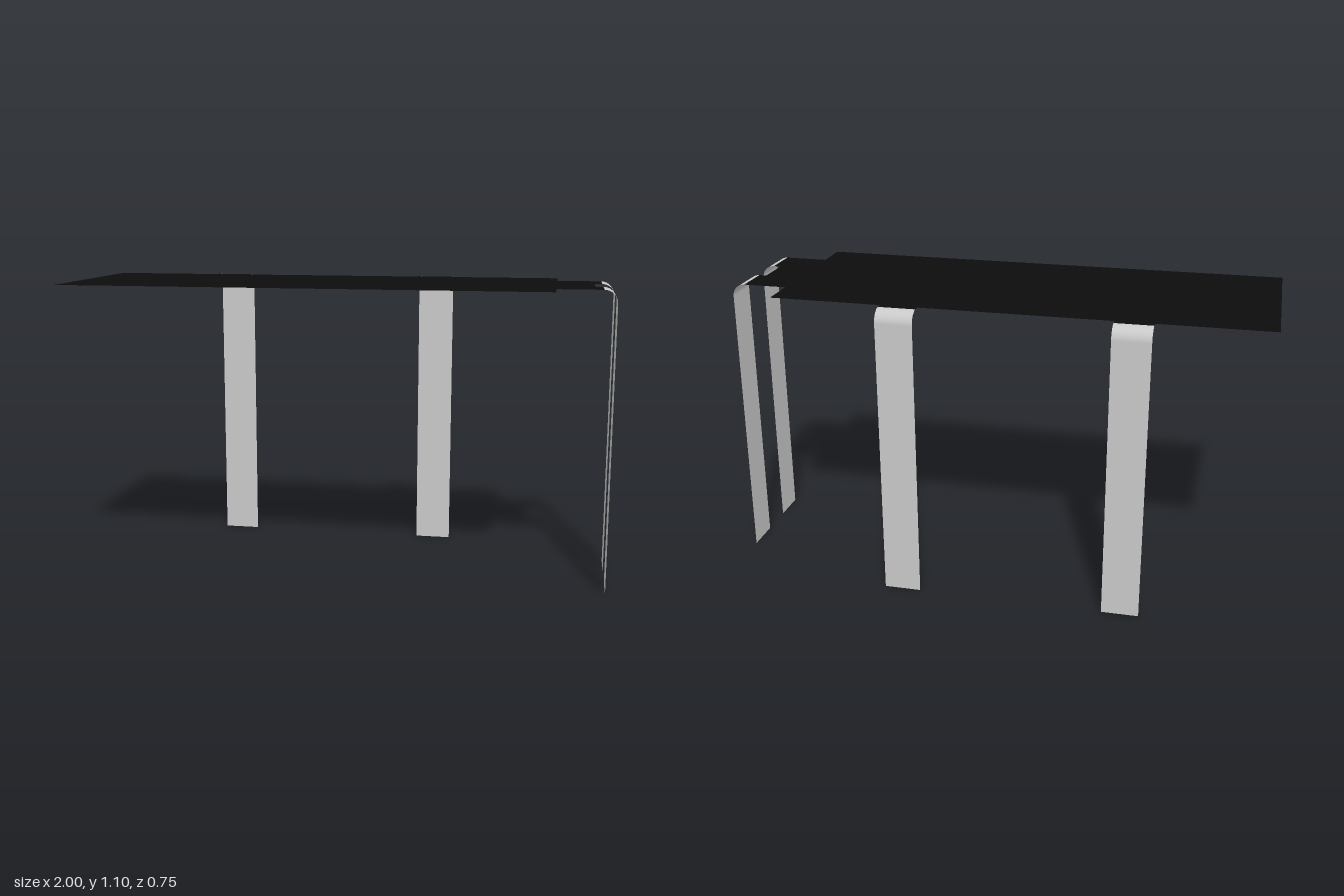
import * as THREE from 'three';

const TOP = 1.095; // height of the sheet
const BEND = 0.047; // radius of the fold at the top of each leg
const WIDTH = 0.137; // leg width

export function createModel() {
  const model = new THREE.Group();
  model.name = 'foldedTable';
  const black = new THREE.MeshStandardMaterial({ color: 0x0c0c0c, side: THREE.DoubleSide });
  black.name = 'black';
  const grey = new THREE.MeshStandardMaterial({ color: 0xc8c8c8, side: THREE.DoubleSide });
  grey.name = 'light grey';

  // Flat top sheet with two short back tabs and a notched end tab, outlined as [x, z]
  const outline = [
    [-1, 0.377], [0.79, 0.377], [0.79, 0.241], [0.953, 0.241], [0.953, 0.104], [0.925, 0.104],
    [0.925, -0.033], [0.953, -0.033], [0.953, -0.17], [0.79, -0.17], [0.79, -0.308],
    [0.376, -0.308], [0.376, -0.33], [0.239, -0.33], [0.239, -0.308],
    [-0.453, -0.308], [-0.453, -0.33], [-0.59, -0.33], [-0.59, -0.308], [-1, -0.308],
  ];
  const shape = new THREE.Shape(outline.map(([x, z]) => new THREE.Vector2(x, -z)));
  const sheet = new THREE.Mesh(new THREE.ShapeGeometry(shape).rotateX(-Math.PI / 2), black);
  sheet.position.y = TOP;
  sheet.name = 'topSheet';
  model.add(sheet);

  // Leg strip: a rounded fold from the sheet, then straight down; it hangs out along +x
  const segments = 12;
  const legGeometry = new THREE.PlaneGeometry(1, 1, 1, segments + 1);
  const pos = legGeometry.attributes.position;
  const normal = legGeometry.attributes.normal;
  for (let row = 0; row <= segments + 1; row++) {
    const a = (Math.min(row, segments) / segments) * Math.PI / 2;
    const y = row > segments ? 0 : TOP - BEND + BEND * Math.cos(a);
    for (let side = 0; side < 2; side++) {
      const i = row * 2 + side;
      pos.setXYZ(i, BEND * Math.sin(a), y, (0.5 - side) * WIDTH);
      normal.setXYZ(i, Math.sin(a), Math.cos(a), 0);
    }
  }

  function addLeg(name, x, z, turn) {
    const leg = new THREE.Mesh(legGeometry, grey);
    leg.position.set(x, 0, z);
    leg.rotation.y = turn;
    leg.name = name;
    model.add(leg);
  }
  addLeg('endLegFront', 0.953, 0.1725, 0);
  addLeg('endLegBack', 0.953, -0.1015, 0);
  addLeg('backLegLeft', 0.3075, -0.33, Math.PI / 2);
  addLeg('backLegRight', -0.5215, -0.33, Math.PI / 2);

  return model;
}
